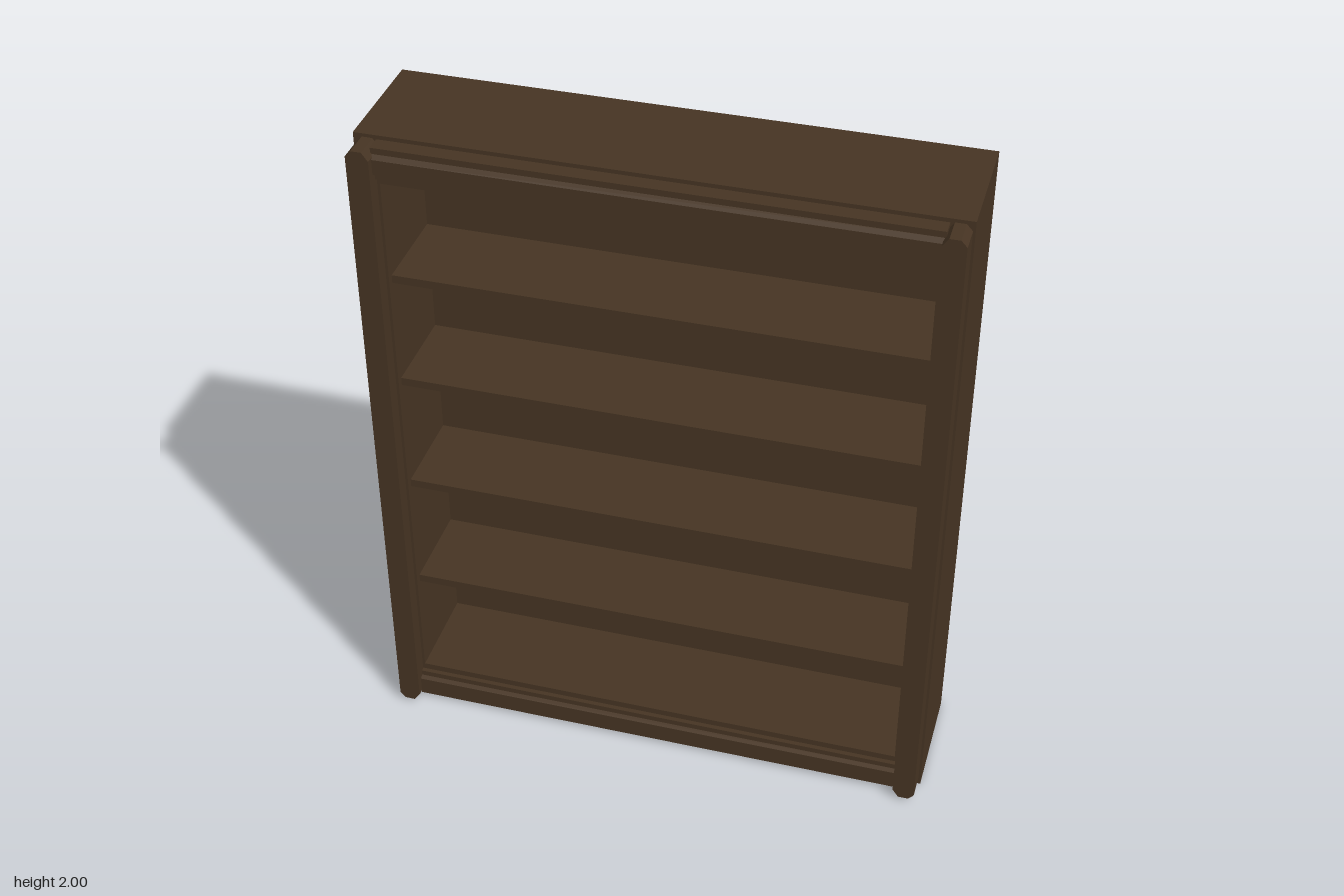
import * as THREE from 'three';

export function createModel() {
  const model = new THREE.Group();
  model.name = 'bookcase';
  const wood = new THREE.MeshStandardMaterial({ color: 0x463423 });
  wood.name = 'darkWood';

  function add(name, geometry, x = 0, y = 0, z = 0) {
    const mesh = new THREE.Mesh(geometry, wood);
    mesh.name = name;
    mesh.position.set(x, y, z);
    model.add(mesh);
    return mesh;
  }
  const extrude = (shape, depth) =>
    new THREE.ExtrudeGeometry(shape, { depth, bevelEnabled: false });
  const polygon = (points) => new THREE.Shape(points.map(([a, b]) => new THREE.Vector2(a, b)));

  // Rectangular ring, centred on x = 0
  function ring(halfOuter, y0, y1, halfInner, i0, i1, depth) {
    const shape = polygon([[-halfOuter, y0], [halfOuter, y0], [halfOuter, y1], [-halfOuter, y1]]);
    shape.holes.push(polygon([[-halfInner, i0], [-halfInner, i1], [halfInner, i1], [halfInner, i0]]));
    return extrude(shape, depth);
  }

  // Carcass: open case and back panel
  add('carcass', ring(0.83, 0, 2, 0.75, 0.13, 1.875, 0.26), 0, 0, -0.12);
  add('backPanel', new THREE.BoxGeometry(1.66, 2, 0.1), 0, 1, -0.17);

  // Bead around the opening
  add('openingBead', ring(0.765, 0.11, 1.895, 0.75, 0.13, 1.875, 0.035), 0, 0, 0.14);

  // Shelves
  for (const y of [0.47, 0.842, 1.212, 1.56]) {
    add('shelf', new THREE.BoxGeometry(1.5, 0.025, 0.275), 0, y, 0.0175);
  }

  // Moulded rails: section as [z, distance from the outer end]
  const section = [[0.14, 0.012], [0.186, 0.012], [0.186, 0.03], [0.2, 0.04],
    [0.2, 0.085], [0.186, 0.09], [0.186, 0.107], [0.14, 0.107]];
  for (const top of [true, false]) {
    // The extrusion runs along z, then turns to run along x
    const geometry = extrude(polygon(section.map(([z, d]) => [-z, top ? 2 - d : d])), 1.53);
    geometry.rotateY(Math.PI / 2).translate(-0.765, 0, 0);
    add(top ? 'topRail' : 'bottomRail', mirrorZ(geometry));
  }

  // Pilasters with clipped ends
  const pilaster = [[0.758, 0.035], [0.776, 0.01], [0.806, 0.01], [0.823, 0.028],
    [0.823, 1.972], [0.806, 1.99], [0.776, 1.99], [0.758, 1.965]];
  for (const side of [-1, 1]) {
    add(side > 0 ? 'leftPilaster' : 'rightPilaster',
      extrude(polygon(pilaster.map(([x, y]) => [side * x, y])), 0.08), 0, 0, 0.14);
  }
  return model;
}

// Keeps rail sections on the front side whichever way the quarter turn went
function mirrorZ(geometry) {
  geometry.computeBoundingBox();
  if (geometry.boundingBox.max.z < 0) geometry.rotateY(Math.PI);
  return geometry;
}
